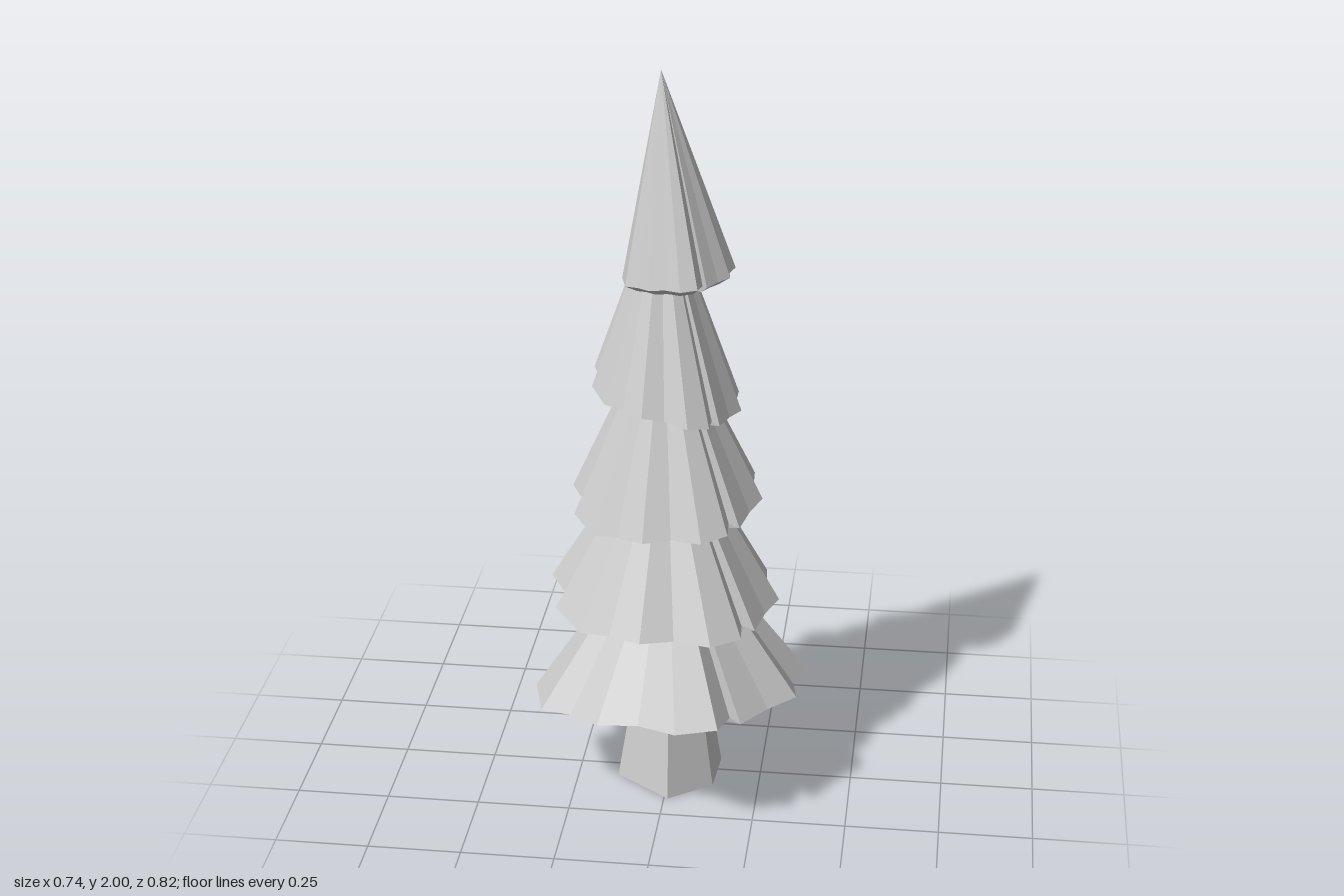
import * as THREE from 'three';

const material = new THREE.MeshStandardMaterial({ color: 0xcccccc, flatShading: true });

// Pleated rim shared by all tiers: x, z corners, clockwise seen from above
const pleats = [
  [-0.05, -0.41], [-0.04, -0.38], [0.1, -0.34], [0.25, -0.265], [0.317, -0.175], [0.285, -0.125],
  [0.37, -0.06], [0.34, 0.05], [0.355, 0.147], [0.286, 0.23], [0.223, 0.335], [0.19, 0.29],
  [0.167, 0.377], [0.058, 0.407], [-0.047, 0.342], [-0.157, 0.333], [-0.24, 0.26], [-0.325, 0.218],
  [-0.37, 0.033], [-0.31, 0.01], [-0.338, -0.193], [-0.27, -0.19], [-0.295, -0.27], [-0.1, -0.33],
];

// Uneven six-sided foot of the trunk
const foot = [
  [0.02, -0.15], [0.135, -0.055], [0.125, 0.085], [0.01, 0.17], [-0.14, 0.06], [-0.125, -0.09],
];

// Joins a top point, rings from top to bottom and a bottom point into a faceted shell
function shell(name, top, rings, bottom) {
  const pos = [];
  const tri = (...corners) => corners.forEach((p) => pos.push(...p));
  const last = rings.length - 1;
  for (let i = 0; i < rings[0].length; i++) {
    const j = (i + 1) % rings[0].length;
    tri(top, rings[0][j], rings[0][i]);
    for (let r = 0; r < last; r++) {
      tri(rings[r][i], rings[r][j], rings[r + 1][i]);
      tri(rings[r][j], rings[r + 1][j], rings[r + 1][i]);
    }
    tri(rings[last][i], rings[last][j], bottom);
  }
  const geometry = new THREE.BufferGeometry();
  geometry.setAttribute('position', new THREE.Float32BufferAttribute(pos, 3));
  geometry.computeVertexNormals();
  const mesh = new THREE.Mesh(geometry, material);
  mesh.name = name;
  return mesh;
}

// One skirt of branches: a pleated cone with a turned, tilted rim and a shallow underside
function branchTier({ name, y, top, size, turn, x, z, tiltX, tiltZ }) {
  const s = Math.sin(turn) * size, c = Math.cos(turn) * size;
  const ring = (scale, drop) => pleats.map(([px, pz]) => {
    const dx = (px * c - pz * s) * scale, dz = (px * s + pz * c) * scale;
    return [x + dx, y - drop + tiltX * dx + tiltZ * dz, z + dz];
  });
  return shell(name, top, [ring(1, 0), ring(0.78, 0.02)], [x, y - 0.015, z]);
}

const tiers = [
  { name: 'lowestBranches', y: 0.28, top: [-0.01, 0.8, 0], size: 1, turn: 0,
    x: 0, z: 0, tiltX: 0.08, tiltZ: 0.14 },
  { name: 'lowerBranches', y: 0.545, top: [-0.015, 1.09, 0], size: 0.82, turn: -0.35,
    x: -0.022, z: -0.012, tiltX: 0, tiltZ: -0.02 },
  { name: 'middleBranches', y: 0.83, top: [-0.02, 1.39, 0], size: 0.68, turn: -0.31,
    x: -0.016, z: -0.016, tiltX: 0.06, tiltZ: -0.1 },
  { name: 'upperBranches', y: 1.14, top: [-0.025, 1.7, 0], size: 0.53, turn: -0.23,
    x: -0.013, z: 0, tiltX: -0.16, tiltZ: -0.04 },
  { name: 'crown', y: 1.47, top: [-0.027, 2, -0.012], size: 0.39, turn: 0,
    x: 0.02, z: 0.008, tiltX: 0.1, tiltZ: 0.03 },
];

export function createModel() {
  const tree = new THREE.Group();
  tree.name = 'coniferTree';

  // Trunk, narrower towards the branches
  const ring = (y, scale) => foot.map(([x, z]) => [x * scale, y, z * scale]);
  tree.add(shell('trunk', [0, 0.4, 0], [ring(0.4, 0.56), ring(0, 1)], [0, 0, 0]));

  // Branch skirts from the widest up to the pointed crown
  tiers.forEach((tier) => tree.add(branchTier(tier)));
  return tree;
}
